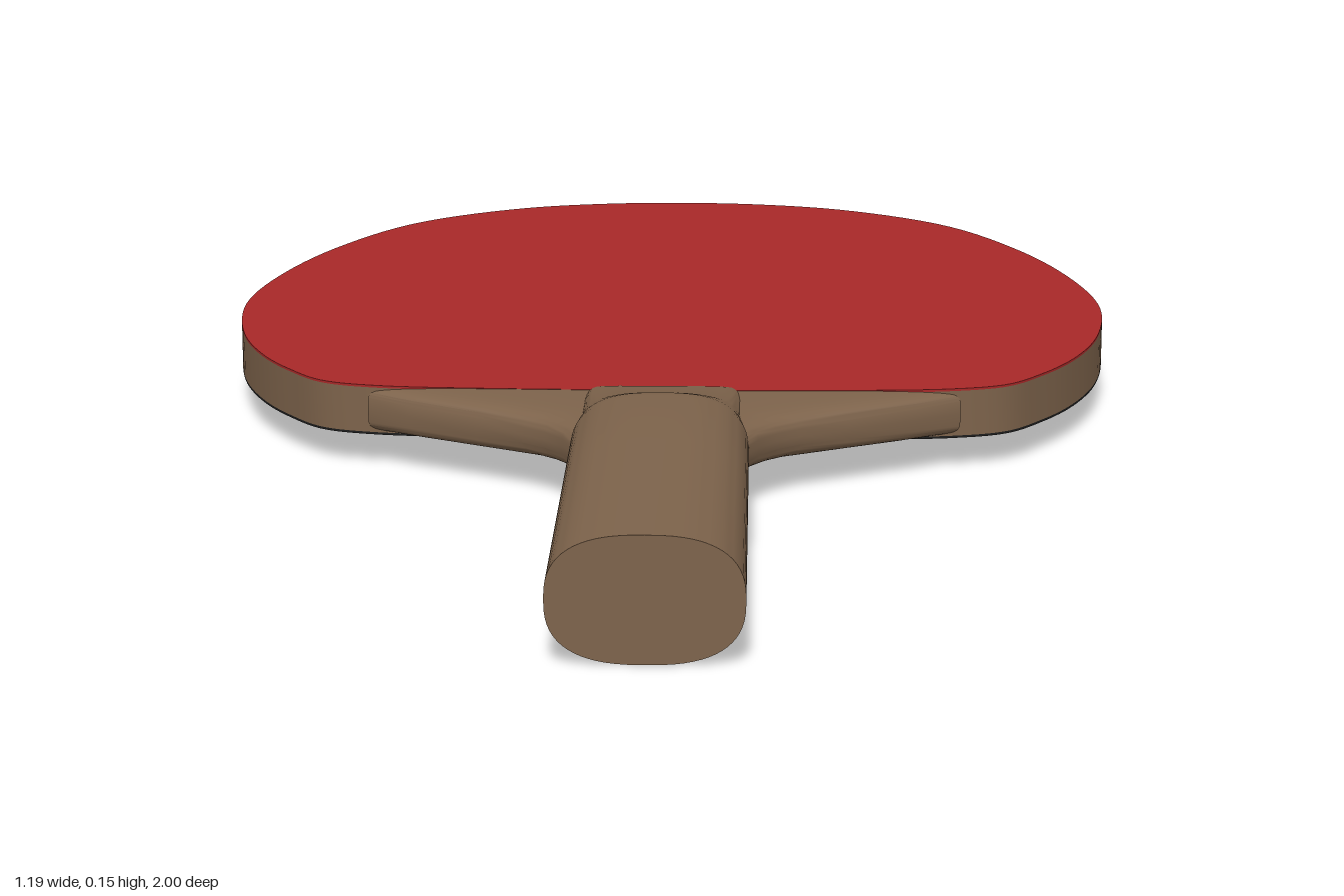
import * as THREE from 'three';
import { toCreasedNormals } from 'three/addons/utils/BufferGeometryUtils.js';

const MID = 0.0775; // mid-plane height of the bat

const mat = (color) => new THREE.MeshStandardMaterial({ color });

// Blade outline in (x, z): half profile mirrored into a closed smooth curve
function bladeOutline() {
  const half = [
    [0.12, -0.99], [0.25, -0.95], [0.4, -0.84], [0.505, -0.66], [0.57, -0.46],
    [0.595, -0.28], [0.575, -0.1], [0.535, 0.02], [0.49, 0.1], [0.44, 0.16],
    [0.37, 0.185], [0.22, 0.197],
  ];
  const pts = [
    [0, -1], ...half, [0, 0.2],
    ...half.slice().reverse().map(([x, z]) => [-x, z]),
  ].map(([x, z]) => new THREE.Vector3(x, z, 0));
  const curve = new THREE.CatmullRomCurve3(pts, true);
  return new THREE.Shape(curve.getPoints(160).slice(0, -1).map((p) => new THREE.Vector2(p.x, p.y)));
}

// Horizontal slab of an outline between two heights
function slab(name, shape, bottom, top, material) {
  const geo = new THREE.ExtrudeGeometry(shape, { depth: top - bottom, bevelEnabled: false });
  geo.rotateX(Math.PI / 2);
  geo.translate(0, top, 0);
  const mesh = new THREE.Mesh(toCreasedNormals(geo, 0.6), material);
  mesh.name = name;
  return mesh;
}

// Loft of superellipse sections along z: [z, half width, half height, exponent]
function loft(name, sections, material, crease = 0.5) {
  const N = 64;
  const pos = [];
  const idx = [];
  const signedPow = (v, e) => Math.sign(v) * Math.pow(Math.abs(v), 2 / e);
  for (const [z, a, b, e] of sections) {
    for (let j = 0; j < N; j++) {
      const t = (j / N) * Math.PI * 2;
      pos.push(a * signedPow(Math.cos(t), e), MID + b * signedPow(Math.sin(t), e), z);
    }
  }
  const last = sections.length - 1;
  for (let i = 0; i < last; i++) {
    for (let j = 0; j < N; j++) {
      const k = (j + 1) % N;
      const a = i * N + j, b = i * N + k, c = a + N, d = b + N;
      idx.push(a, b, d, a, d, c);
    }
  }
  // End caps
  for (let j = 1; j < N - 1; j++) {
    idx.push(0, j + 1, j);
    idx.push(last * N, last * N + j, last * N + j + 1);
  }
  const geo = new THREE.BufferGeometry();
  geo.setAttribute('position', new THREE.Float32BufferAttribute(pos, 3));
  geo.setIndex(idx);
  const mesh = new THREE.Mesh(toCreasedNormals(geo, crease), material);
  mesh.name = name;
  return mesh;
}

export function createModel() {
  const group = new THREE.Group();
  group.name = 'tableTennisBat';
  const wood = mat(0x7d634b);
  const outline = bladeOutline();

  // Blade with a thin rubber sheet on each face
  group.add(slab('woodBlade', outline, 0.048, 0.107, wood));
  group.add(slab('redRubber', outline, 0.107, 0.11, mat(0xa82828)));
  group.add(slab('blackRubber', outline, 0.045, 0.048, mat(0x1c1c1c)));

  // Flared throat joining blade and handle
  group.add(loft('throat', [
    [0.185, 0.38, 0.032, 7],
    [0.22, 0.325, 0.032, 6],
    [0.27, 0.235, 0.032, 5],
    [0.305, 0.175, 0.032, 4],
    [0.33, 0.145, 0.032, 4],
    [0.36, 0.122, 0.032, 4],
    [0.4, 0.105, 0.03, 4],
  ], wood));

  // Handle, thinning into a wedge where it meets the blade
  group.add(loft('handle', [
    [0.185, 0.1, 0.034, 8],
    [0.25, 0.1, 0.045, 6],
    [0.32, 0.1, 0.057, 4],
    [0.345, 0.103, 0.066, 3],
    [0.365, 0.107, 0.071, 2.7],
    [0.39, 0.11, 0.0735, 2.6],
    [0.6, 0.11, 0.0735, 2.6],
    [1, 0.11, 0.0735, 2.6],
  ], wood));

  // Rest the handle on the ground
  group.position.y = -0.004;
  const root = new THREE.Group();
  root.name = 'bat';
  root.add(group);
  return root;
}
